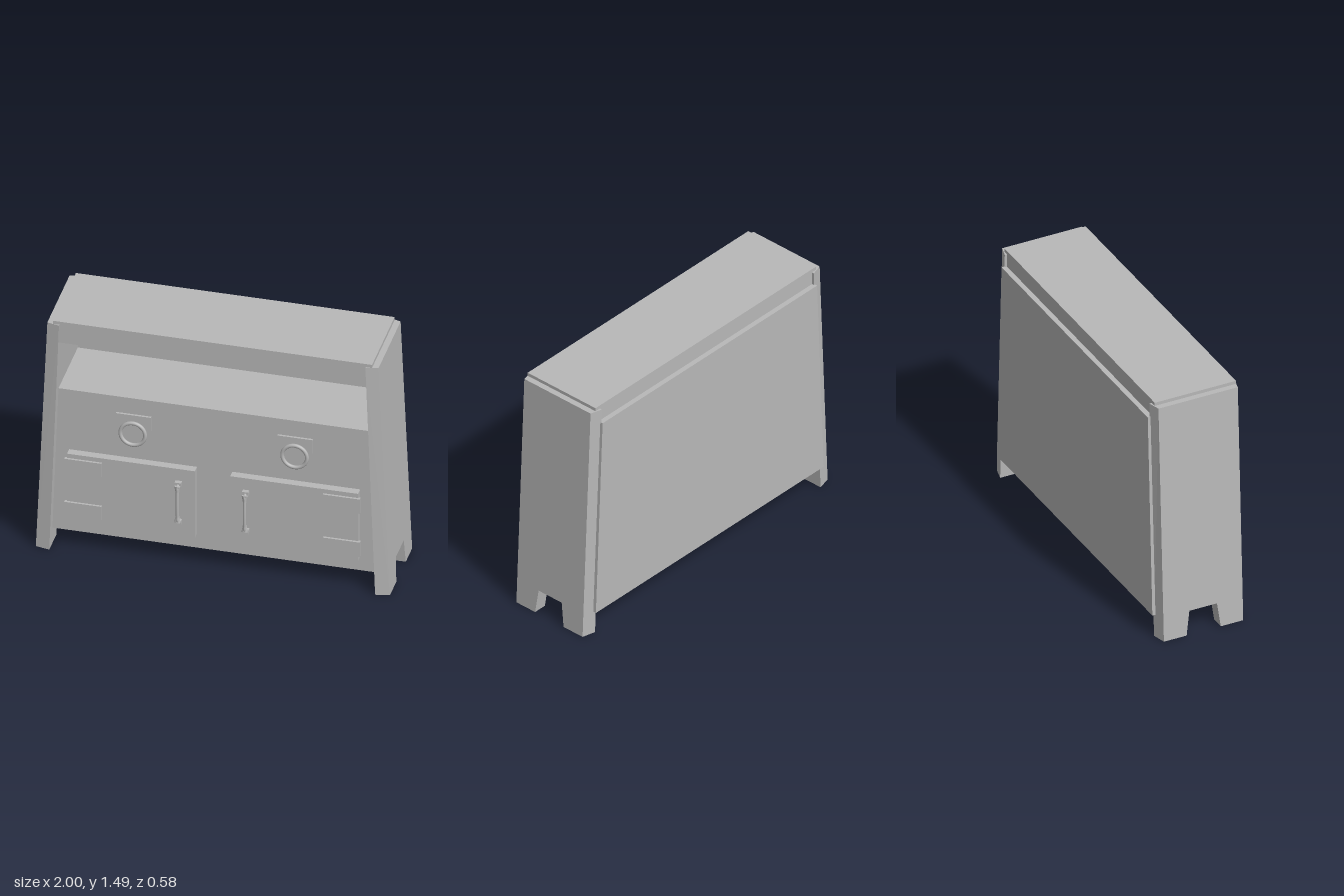
import * as THREE from 'three';

export function createModel() {
  const model = new THREE.Group();
  const grey = new THREE.MeshStandardMaterial({ color: 0xb8b8b8, side: THREE.DoubleSide });
  grey.name = 'plainGrey';

  const add = (name, geometry, parent = model) => {
    const mesh = new THREE.Mesh(geometry, grey);
    mesh.name = name;
    parent.add(mesh);
    return mesh;
  };
  // box given by its limits on each axis
  const box = (name, x0, x1, y0, y1, z0, z1, parent) =>
    add(name, new THREE.BoxGeometry(x1 - x0, y1 - y0, z1 - z0), parent)
      .position.set((x0 + x1) / 2, (y0 + y1) / 2, (z0 + z1) / 2);
  // upright board with sloping ends
  const board = (name, low, high, y0, y1, z0, z1) => {
    const shape = new THREE.Shape([[-low, y0], [low, y0], [high, y1], [-high, y1]]
      .map(p => new THREE.Vector2(...p)));
    const g = new THREE.ExtrudeGeometry(shape, { depth: z1 - z0, bevelEnabled: false });
    add(name, g.translate(0, 0, z0));
  };

  // leaning side panel with two feet, wider on its inner face, feet hollow below
  const H = 1.465;
  const sidePanel = side => {
    const profile = [[-0.27, 0], [-0.11, 0], [-0.09, 0.15], [0.08, 0.15], [0.1, 0],
      [0.255, 0], [0.255, H], [-0.27, H]];
    const shape = new THREE.Shape(profile.map(p => new THREE.Vector2(...p)));
    const src = new THREE.ExtrudeGeometry(shape, { depth: 1, bevelEnabled: false }).toNonIndexed
      ? new THREE.ExtrudeGeometry(shape, { depth: 1, bevelEnabled: false }) : null;
    const p = src.attributes.position;
    const out = [];
    for (let i = 0; i < p.count; i += 3) {
      if (p.getY(i) + p.getY(i + 1) + p.getY(i + 2) < 1e-6) continue;
      const order = side > 0 ? [0, 2, 1] : [0, 1, 2];
      for (const k of order) {
        const y = p.getY(i + k), outer = p.getZ(i + k) > 0.5;
        let z = p.getX(i + k);
        if (outer && z > 0.2) z = 0.238;
        if (outer && z < -0.2) z = -0.25;
        const x = outer ? 1 - 0.065 * y / H : 0.92 - 0.055 * y / H;
        out.push(side * x, y, z);
      }
    }
    const g = new THREE.BufferGeometry();
    g.setAttribute('position', new THREE.Float32BufferAttribute(out, 3));
    g.computeVertexNormals();
    add(side > 0 ? 'leftSidePanel' : 'rightSidePanel', g);
  };

  // carcass
  box('topBoard', -0.9, 0.9, 1.35, 1.485, -0.255, 0.245);
  board('backPanel', 0.93, 0.875, 0.14, 1.385, -0.285, -0.225);
  board('frontPanel', 0.925, 0.885, 0.11, 1.02, 0.17, 0.2);
  box('shelf', -0.885, 0.885, 0.99, 1.022, -0.23, 0.2);

  for (const s of [-1, 1]) {
    sidePanel(s);
    const sideName = s > 0 ? 'left' : 'right';
    const span = (name, a, b, ...rest) => box(name, Math.min(s * a, s * b), Math.max(s * a, s * b), ...rest);

    // compartment and door
    span(sideName + 'Compartment', 0.1, 0.82, 0.215, 0.62, -0.225, 0.18);
    span(sideName + 'Door', 0.1, 0.822, 0.2, 0.635, 0.16, 0.247);
    for (const y of [0.235, 0.515])
      span(sideName + 'Hinge', 0.625, 0.835, y, y + 0.093, 0.24, 0.26);

    // pull handle: bent bar with flared ends
    const handle = new THREE.Group();
    handle.name = sideName + 'Handle';
    handle.position.set(s * 0.19, 0.425, 0);
    model.add(handle);
    const path = new THREE.CatmullRomCurve3([[0.123, 0.24], [0.122, 0.262], [0.108, 0.279], [0.08, 0.281],
      [-0.08, 0.281], [-0.108, 0.279], [-0.122, 0.262], [-0.123, 0.24]]
      .map(([y, z]) => new THREE.Vector3(0, y, z)), false, 'chordal');
    add('handleBar', new THREE.TubeGeometry(path, 40, 0.009, 8), handle);
    for (const e of [-1, 1]) {
      const flare = new THREE.CylinderGeometry(0.018, 0.01, 0.045, 12);
      if (e < 0) flare.rotateX(Math.PI);
      flare.scale(1, 1, 0.5);
      add('handleFlare', flare, handle).position.set(0, e * 0.095, 0.279);
      box('handleFoot', -0.018, 0.018, e * 0.123 - 0.012, e * 0.123 + 0.012, 0.24, 0.272, handle);
    }

    // ring pull on its plate
    span(sideName + 'RingPlate', 0.357, 0.555, 0.83, 0.92, 0.195, 0.213);
    add(sideName + 'RingPull', new THREE.TorusGeometry(0.07, 0.011, 10, 40))
      .position.set(s * 0.457, 0.805, 0.222);
  }
  return model;
}
